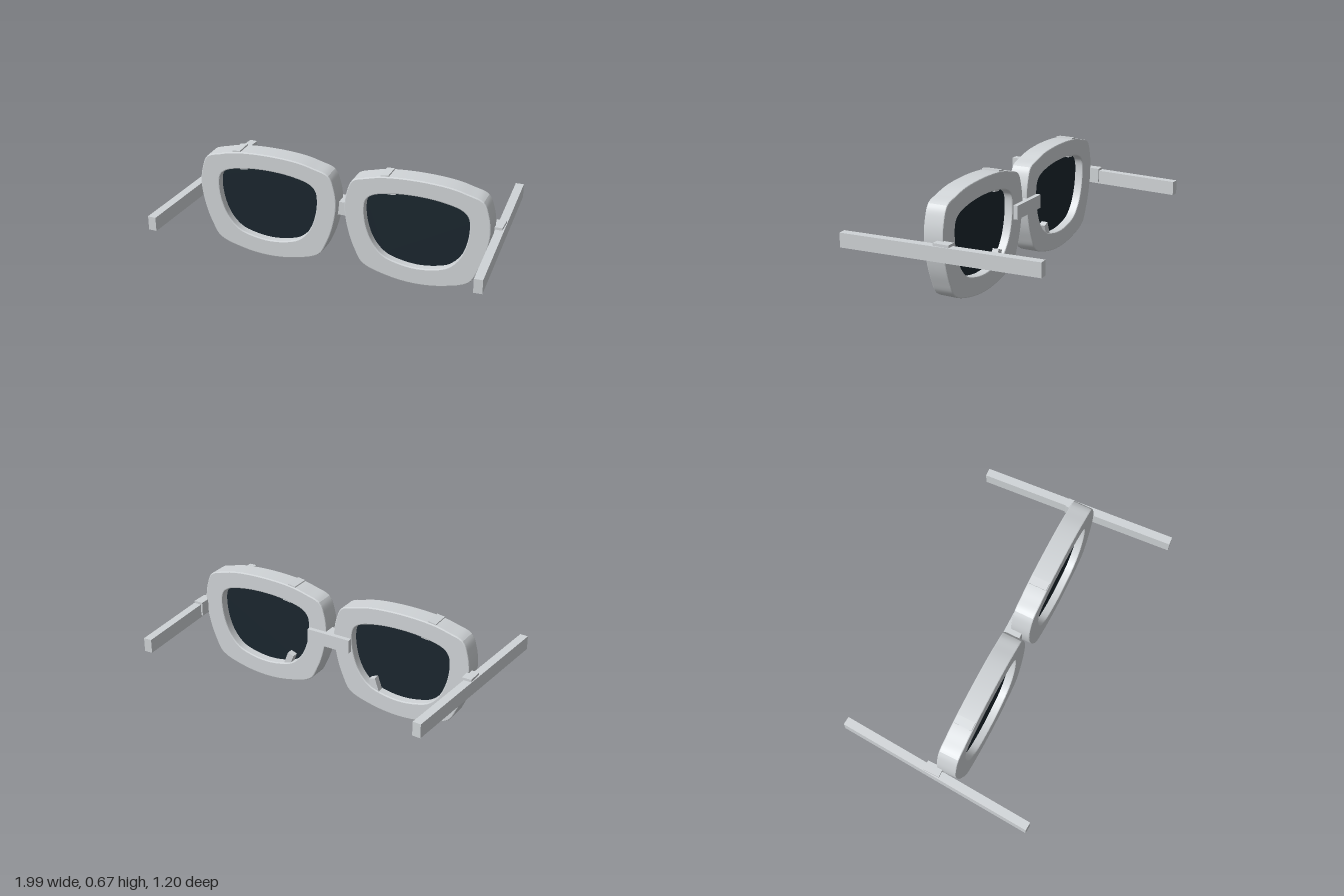
import * as THREE from 'three';
import { toCreasedNormals } from 'three/addons/utils/BufferGeometryUtils.js';

const frameGrey = new THREE.MeshStandardMaterial({ color: 0xd0d4d7 });
frameGrey.name = 'frame grey';
const lensDark = new THREE.MeshStandardMaterial({ color: 0x1a262e });
lensDark.name = 'dark lens';

// Half outlines from top centre to bottom centre, mirrored into closed loops
const RIM = [[0, 0.671], [0.2, 0.659], [0.3, 0.636], [0.39, 0.604], [0.425, 0.525], [0.439, 0.415],
  [0.413, 0.262], [0.376, 0.16], [0.327, 0.075], [0.18, 0.021], [0, 0]];
const OPENING = [[0, 0.57], [0.16, 0.558], [0.27, 0.528], [0.306, 0.493], [0.317, 0.428],
  [0.302, 0.315], [0.262, 0.22], [0.194, 0.15], [0.1, 0.119], [0, 0.108]];

function outline(half, grow = 1) {
  const mirrored = half.slice(1, -1).reverse().map(([x, y]) => [-x, y]);
  const pts = [...half, ...mirrored].map(([x, y]) => new THREE.Vector3(x * grow, 0.339 + (y - 0.339) * grow, 0));
  const loop = new THREE.CatmullRomCurve3(pts, true).getPoints(80).slice(0, -1);
  return loop.map((p) => new THREE.Vector2(p.x, p.y));
}

function extrude(shape, z0, z1, bevel) {
  const geo = new THREE.ExtrudeGeometry(shape, {
    depth: z1 - z0 - 2 * bevel, bevelEnabled: bevel > 0, bevelSize: bevel,
    bevelThickness: bevel, bevelOffset: -bevel, bevelSegments: 2,
  });
  geo.translate(0, 0, z0 + bevel);
  return toCreasedNormals(geo, 0.3);
}

function add(parent, name, geo, mat, x = 0, y = 0, z = 0) {
  const mesh = new THREE.Mesh(geo, mat);
  mesh.name = name;
  mesh.position.set(x, y, z);
  parent.add(mesh);
  return mesh;
}

const box = (w, h, d) => new THREE.BoxGeometry(w, h, d);

export function createModel() {
  const model = new THREE.Group();
  model.name = 'sunglasses';

  // The opening runs against the rim's direction so its walls face inwards
  const rimShape = new THREE.Shape(outline(RIM));
  rimShape.holes.push(new THREE.Path(outline(OPENING).reverse()));
  const rimGeo = extrude(rimShape, -0.008, 0.115, 0.006);
  const lensGeo = extrude(new THREE.Shape(outline(OPENING, 1.02)), 0.045, 0.068, 0);

  for (const side of [1, -1]) {
    const label = side > 0 ? 'left' : 'right';
    const cx = side * 0.465;

    // Rim, lens, the small catch at the top of the opening and the ridge above it
    add(model, label + 'Rim', rimGeo, frameGrey, cx);
    add(model, label + 'Lens', lensGeo, lensDark, cx);
    add(model, label + 'LensCatch', box(0.05, 0.022, 0.1), frameGrey, cx - 0.155, 0.561, 0.053).rotation.z = 0.12;
    add(model, label + 'RimRidge', box(0.05, 0.016, 0.11), frameGrey, cx - 0.195, 0.659, 0.053).rotation.z = 0.15;

    // Nose pad leaning towards the bridge
    add(model, label + 'NosePad', box(0.042, 0.09, 0.04), frameGrey, side * 0.3, 0.156, 0.018).rotation.z = side * 0.35;

    // Temple arm, splayed slightly outwards to the front
    const splay = side * Math.atan(0.08 / 1.2);
    add(model, label + 'Temple', box(0.05, 0.085, 1.204), frameGrey, side * 0.932, 0.3625, 0).rotation.y = splay;

    // Hinge block
    add(model, label + 'Hinge', box(0.058, 0.088, 0.098), frameGrey, side * 0.92, 0.376, -0.02);
  }

  // Bridge: filler between the rims and the plate behind them
  add(model, 'bridge', box(0.07, 0.084, 0.078), frameGrey, 0, 0.384, 0.026);
  add(model, 'bridgePlate', box(0.285, 0.084, 0.028), frameGrey, -0.003, 0.384, -0.022);

  return model;
}
